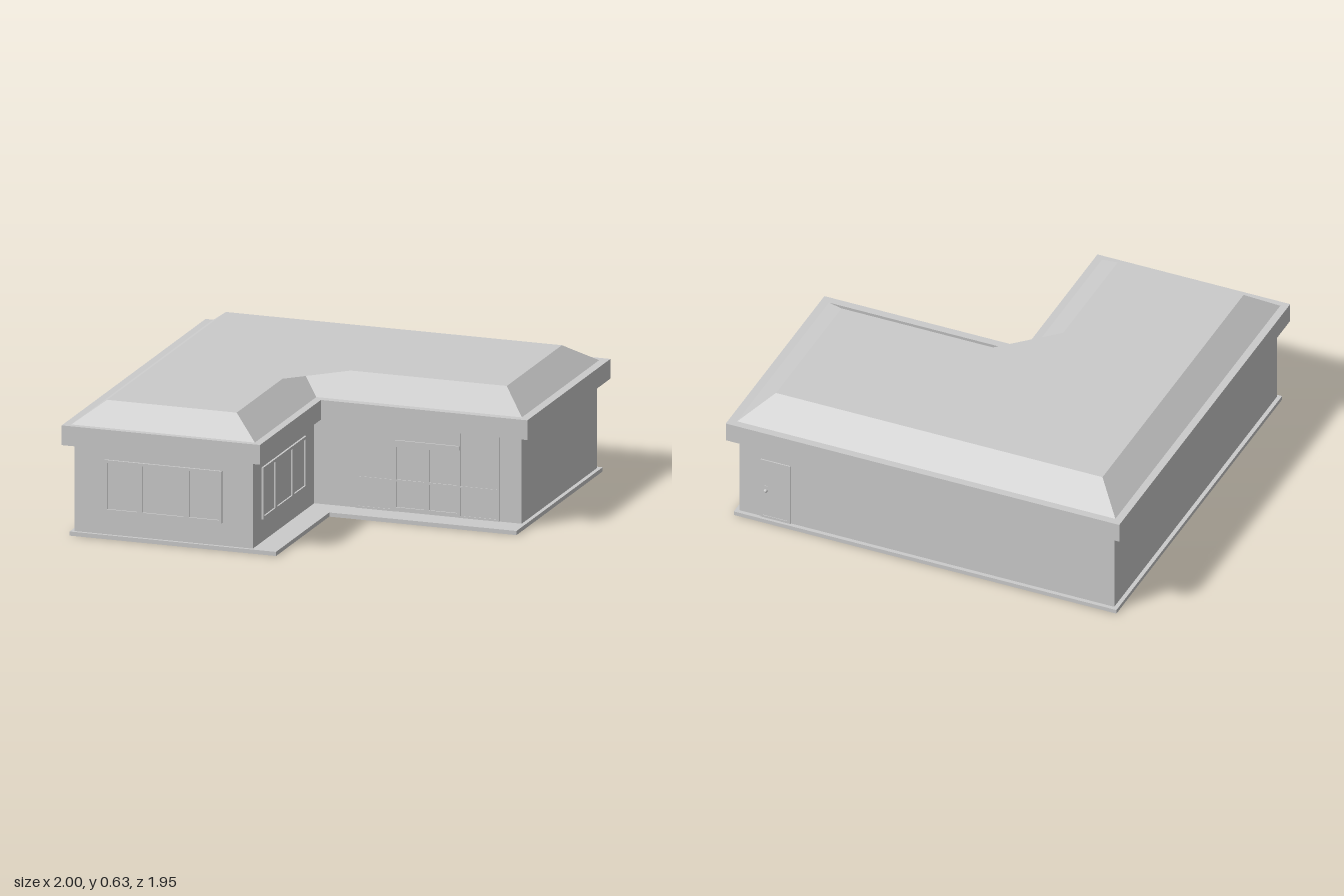
import * as THREE from 'three';

const grey = new THREE.MeshStandardMaterial({ color: 0xcccccc, flatShading: true });

// Plan of an L-shaped layer: outer limits plus the inner notch corner
const plan = (x0, x1, z0, z1, nx, nz) =>
  [[x0, z0], [x1, z0], [x1, nz], [nx, nz], [nx, z1], [x0, z1]];

// Prism over a plan; with topPlan, its upper corners move to that plan
function layer(name, base, y0, y1, topPlan) {
  const shape = new THREE.Shape(base.map(([x, z]) => new THREE.Vector2(x, -z)));
  const geo = new THREE.ExtrudeGeometry(shape, { depth: y1 - y0, bevelEnabled: false });
  geo.rotateX(-Math.PI / 2).translate(0, y0, 0);
  if (topPlan) {
    const p = geo.attributes.position;
    for (let i = 0; i < p.count; i++) {
      if (p.getY(i) < (y0 + y1) / 2) continue;
      const k = base.findIndex(([x, z]) => Math.hypot(x - p.getX(i), z - p.getZ(i)) < 1e-4);
      p.setXYZ(i, topPlan[k][0], y1, topPlan[k][1]);
    }
    geo.computeVertexNormals();
  }
  const mesh = new THREE.Mesh(geo, grey);
  mesh.name = name;
  return mesh;
}

// Box given by its limits in the plane of a wall, standing out from z = 0 by d
function panel(parent, name, x0, x1, y0, y1, d) {
  const mesh = new THREE.Mesh(new THREE.BoxGeometry(x1 - x0, y1 - y0, d + 0.01), grey);
  mesh.position.set((x0 + x1) / 2, (y0 + y1) / 2, (d - 0.01) / 2);
  mesh.name = name;
  parent.add(mesh);
  return mesh;
}

// Rectangular frame with an open middle
function frame(parent, name, x0, x1, y0, y1, w, d) {
  const rect = (s, a, b, c, e) => s.moveTo(a, c).lineTo(b, c).lineTo(b, e).lineTo(a, e).closePath();
  const shape = rect(new THREE.Shape(), x0, x1, y0, y1);
  shape.holes.push(rect(new THREE.Path(), x0 + w, x1 - w, y0 + w, y1 - w));
  const mesh = new THREE.Mesh(
    new THREE.ExtrudeGeometry(shape, { depth: d + 0.005, bevelEnabled: false }).translate(0, 0, -0.005), grey);
  mesh.name = name;
  parent.add(mesh);
}

// Window of three panes, the middle one wider
function tripleWindow(name) {
  const g = new THREE.Group();
  g.name = name;
  const xs = [-0.29, -0.115, 0.115, 0.29];
  for (let i = 0; i < 3; i++) {
    frame(g, 'windowFrame', xs[i], xs[i + 1], 0.13, 0.38, 0.013, 0.01);
    panel(g, 'windowPane', xs[i] + 0.01, xs[i + 1] - 0.01, 0.14, 0.37, 0.002);
  }
  return g;
}

// Glazed entrance: side lights, double door and transom
function entrance() {
  const g = new THREE.Group();
  g.name = 'entrance';
  panel(g, 'entranceGlazing', 0.145, 0.84, 0.02, 0.44, 0.002);
  for (const x of [0.145, 0.325, 0.65, 0.84]) panel(g, 'post', x - 0.005, x + 0.005, 0.02, 0.44, 0.006);
  for (const [a, b] of [[0.145, 0.325], [0.65, 0.84]]) {
    panel(g, 'sideRail', a, b, 0.165, 0.173, 0.005);
    panel(g, 'sideSill', a, b, 0.02, 0.03, 0.005);
  }
  panel(g, 'transom', 0.325, 0.65, 0.345, 0.365, 0.01);
  for (const [a, b] of [[0.325, 0.4875], [0.4875, 0.65]]) {
    frame(g, 'doorLeaf', a, b, 0.03, 0.345, 0.012, 0.009);
    panel(g, 'doorRail', a + 0.01, b - 0.01, 0.165, 0.175, 0.007);
  }
  return g;
}

// Service door with a handle
function backDoor() {
  const g = new THREE.Group();
  g.name = 'backDoor';
  frame(g, 'doorFrame', -0.075, 0.075, 0.02, 0.345, 0.012, 0.006);
  panel(g, 'doorPanel', -0.065, 0.065, 0.02, 0.335, 0.003);
  panel(g, 'handlePlate', -0.056, -0.04, 0.15, 0.2, 0.006);
  const knob = new THREE.Mesh(new THREE.SphereGeometry(0.009, 12, 8), grey);
  knob.name = 'doorKnob';
  knob.position.set(-0.048, 0.175, 0.009);
  g.add(knob);
  return g;
}

export function createModel() {
  const model = new THREE.Group();
  model.name = 'building';

  // Layers from slab to roof
  model.add(
    layer('floorSlab', plan(-0.97, 0.975, -0.94, 0.945, 0.05, 0.225), 0, 0.02),
    layer('walls', plan(-0.95, 0.955, -0.92, 0.93, -0.07, 0.1), 0.02, 0.445),
    layer('fascia', plan(-1, 1, -0.975, 0.97, -0.02, 0.147), 0.44, 0.535),
    layer('roof', plan(-0.97, 0.965, -0.945, 0.945, -0.05, 0.115), 0.53, 0.635,
      plan(-0.83, 0.83, -0.785, 0.82, -0.19, -0.04)));

  // Openings on the walls
  const front = tripleWindow('frontWindow');
  front.position.set(-0.51, 0, 0.93);
  const side = tripleWindow('sideWindow');
  side.position.set(-0.07, 0, 0.52);
  side.rotation.y = Math.PI / 2;
  const entry = entrance();
  entry.position.z = 0.1;
  const back = backDoor();
  back.position.set(0.77, 0, -0.92);
  back.rotation.y = Math.PI;
  model.add(front, side, entry, back);
  return model;
}
